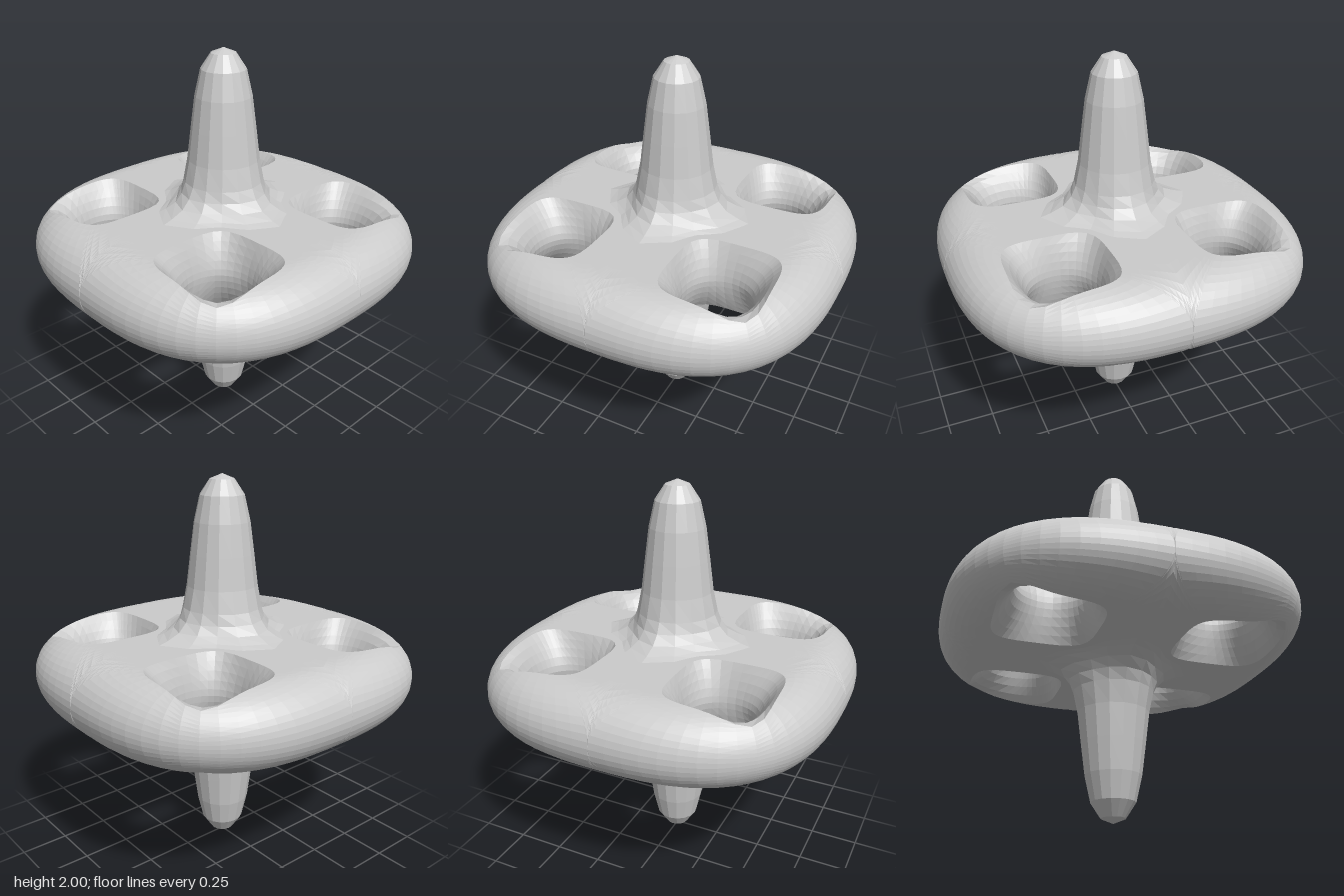
import * as THREE from 'three';

const OUT = 0.905, N = 2.7;   // plan outline: superellipse
const MID = 1, HALF = 0.2;    // plate centre height and half thickness

const superR = (c, s, n) => Math.pow(Math.abs(c) ** n + Math.abs(s) ** n, -1 / n);

// Half thickness of the plate, rolling off towards the outline
function plateHeight(x, z) {
  const s = Math.pow(x ** N + z ** N, 1 / N) / OUT;
  const k = THREE.MathUtils.clamp((s - 0.75) / 0.25, 0, 1);
  return HALF * Math.pow(Math.max(0, 1 - Math.pow(k, 2.1)), 0.5);
}

// Boundary of one quadrant: x axis, outer curve, z axis
function quadrantBoundary() {
  const pts = [], n = 12, m = 18;
  const ease = (t) => OUT * Math.sin(t * Math.PI / 2);
  for (let i = 0; i < n; i++) pts.push([ease(i / n), 0]);
  for (let i = 0; i <= m; i++) {
    const a = i / m * Math.PI / 2, c = Math.cos(a), s = Math.sin(a), r = OUT * superR(c, s, N);
    pts.push(i === m ? [0, OUT] : [c * r, s * r]);
  }
  for (let i = n - 1; i >= 0; i--) pts.push([0, ease(i / n)]);
  return pts;
}

// Rings from the hole's waist, over its flared rim, to the quadrant boundary
function quadrantRings() {
  const wall = 5, deck = 10, rimC = 0.445, rimR = 0.245, holeC = 0.422, holeR = 0.178;
  const boundary = quadrantBoundary();
  const rings = [];
  for (let j = 0; j <= wall + deck; j++) {
    rings.push(boundary.map(([bx, bz]) => {
      const a = Math.atan2(bz - rimC, bx - rimC), c = Math.cos(a), s = Math.sin(a);
      const r = rimR * superR(c, s, 4);
      const rx = rimC + c * r, rz = rimC + s * r;
      let x, z, lift = 1;
      if (j <= wall) {
        const u = 1 - Math.cos(j / wall * Math.PI / 2);
        x = THREE.MathUtils.lerp(holeC + c * holeR, rx, u);
        z = THREE.MathUtils.lerp(holeC + s * holeR, rz, u);
        lift = Math.pow(u, 0.6);
      } else {
        const t = Math.sin((j - wall) / deck * Math.PI / 2);
        x = THREE.MathUtils.lerp(rx, bx, t);
        z = THREE.MathUtils.lerp(rz, bz, t);
      }
      return [x, lift * plateHeight(Math.max(x, 0), Math.max(z, 0)), z];
    }));
  }
  return rings;
}

// The quadrant is mirrored eight times into the whole plate
function plateGeometry() {
  const rings = quadrantRings(), cols = rings[0].length;
  const pos = [], idx = [];
  for (const sx of [1, -1]) for (const sy of [1, -1]) for (const sz of [1, -1]) {
    const base = pos.length / 3, flip = sx * sy * sz < 0;
    for (const ring of rings) for (const [x, y, z] of ring) pos.push(sx * x, MID + sy * y, sz * z);
    for (let j = 0; j < rings.length - 1; j++) for (let i = 0; i < cols - 1; i++) {
      const a = base + j * cols + i, b = a + 1, d = a + cols, c = d + 1;
      if (flip) idx.push(a, c, b, a, d, c);
      else idx.push(a, b, c, a, c, d);
    }
  }
  const g = new THREE.BufferGeometry();
  g.setAttribute('position', new THREE.Float32BufferAttribute(pos, 3));
  g.setIndex(idx);
  g.computeVertexNormals();
  return g;
}

// Spike, measured from the plate's centre; its foot spreads between the holes
function spikeGeometry() {
  const profile = [[0.42, 0.195], [0.35, 0.212], [0.28, 0.24], [0.235, 0.285], [0.208, 0.34], [0.183, 0.45],
    [0.163, 0.61], [0.142, 0.77], [0.112, 0.9], [0.062, 0.975], [0, 1]];
  const g = new THREE.LatheGeometry(profile.map(([x, y]) => new THREE.Vector2(x, y)), 16);
  const p = g.attributes.position;
  for (let i = 0; i < p.count; i++) {
    const x = p.getX(i), z = p.getZ(i), r = Math.hypot(x, z);
    const diagonal = (1 - Math.cos(4 * Math.atan2(z, x))) / 2;
    const limit = r > 0.2 ? 0.2 + (r - 0.2) * (1 - 0.5 * diagonal) : r;
    const k = r > 0 ? limit / r : 1;
    p.setXYZ(i, x * k, p.getY(i), z * k);
  }
  g.computeVertexNormals();
  return g;
}

export function createModel() {
  const group = new THREE.Group();
  const material = new THREE.MeshStandardMaterial({ color: 0xcccccc, flatShading: true });

  const plate = new THREE.Mesh(plateGeometry(), material);
  plate.name = 'plate';
  group.add(plate);

  const spike = spikeGeometry();
  for (const [name, turn] of [['topSpike', 0], ['bottomSpike', Math.PI]]) {
    const mesh = new THREE.Mesh(spike, material);
    mesh.name = name;
    mesh.position.y = MID;
    mesh.rotation.x = turn;
    group.add(mesh);
  }
  return group;
}
